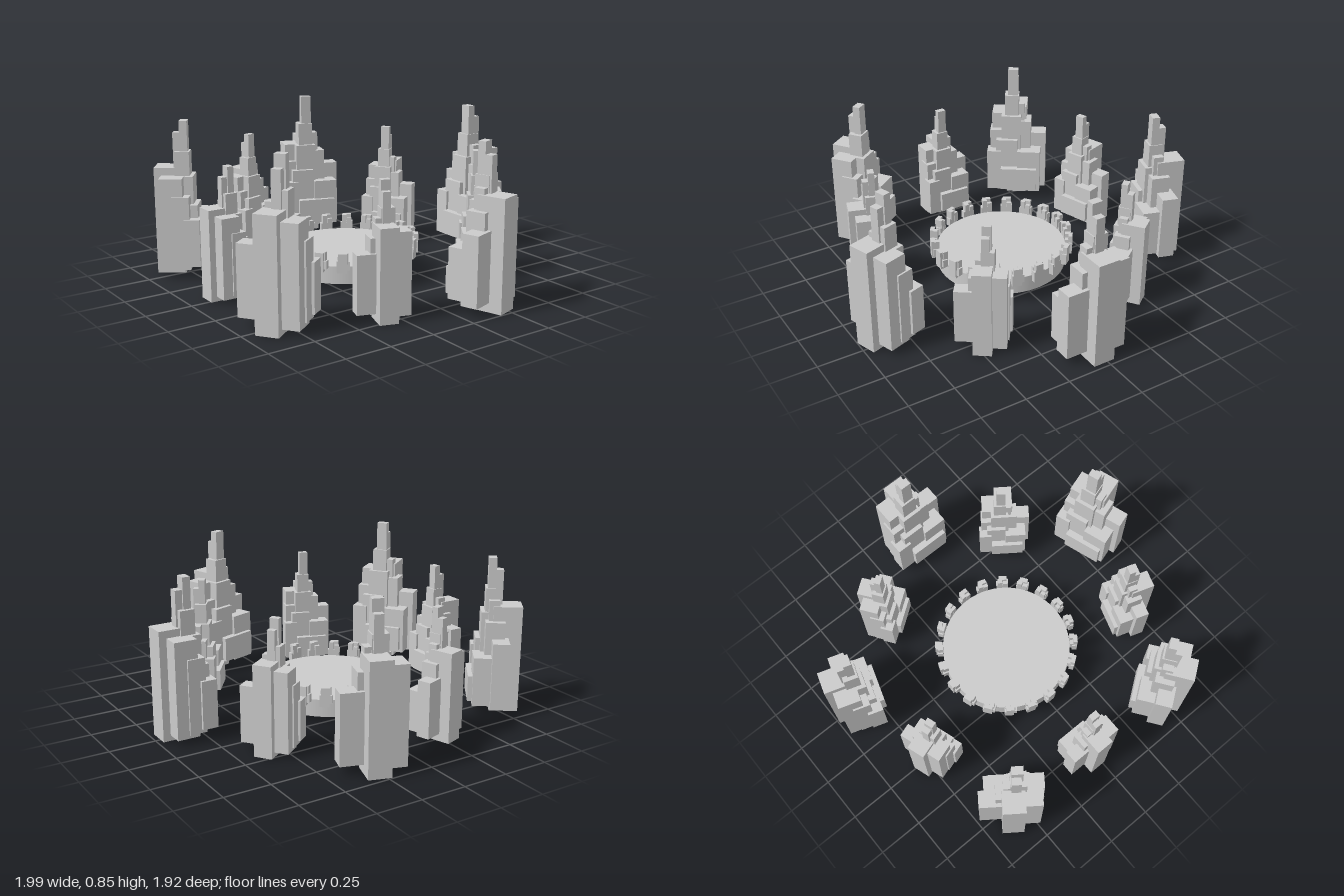
import * as THREE from 'three';

const grey = new THREE.MeshStandardMaterial({ color: 0xcccccc, flatShading: true });
const smooth = new THREE.MeshStandardMaterial({ color: 0xcccccc, side: THREE.DoubleSide });

// Blocks of one tower as [x0, x1, z0, z1, y0, y1]; the spire is at the origin, -z points outward
const TOWER = [
  [-0.03, 0.03, -0.022, 0.02, 0.3, 0.845],     // spire
  [-0.02, 0.03, -0.06, 0, 0.3, 0.78],
  [-0.05, 0.035, -0.05, 0.03, 0.1, 0.68],
  [0, 0.07, -0.045, 0.012, 0.1, 0.62],
  [-0.04, 0.08, -0.165, -0.01, 0, 0.59],       // outer slab
  [-0.13, -0.03, -0.125, 0, 0.03, 0.55],
  [-0.07, 0.05, -0.03, 0.05, 0.1, 0.55],
  [0, 0.11, -0.075, 0.03, 0.04, 0.51],
  [-0.14, -0.02, -0.06, 0.035, 0.05, 0.45],
  [0.03, 0.2, -0.095, -0.005, 0.05, 0.42],     // side wing
  [-0.1, 0.03, 0, 0.075, 0.07, 0.4],
  [0.03, 0.17, -0.005, 0.09, 0.06, 0.33],
  [-0.155, -0.07, 0.005, 0.09, 0.07, 0.33],
  [-0.07, 0.15, 0.02, 0.115, 0.08, 0.22],      // inner terrace
];

// Blocks of one rim ornament, same layout
const ORNAMENT = [
  [-0.034, 0.02, -0.012, 0.018, 0.135, 0.18],
  [-0.018, 0.034, -0.02, 0.008, 0.12, 0.185],
  [-0.02, 0.026, -0.022, 0.002, 0.17, 0.225],
  [-0.026, 0, -0.006, 0.022, 0.175, 0.225],
  [0.004, 0.03, 0, 0.02, 0.15, 0.205],
];

function cluster(name, blocks) {
  const group = new THREE.Group();
  group.name = name;
  blocks.forEach(([x0, x1, z0, z1, y0, y1]) => {
    const block = new THREE.Mesh(new THREE.BoxGeometry(x1 - x0, y1 - y0, z1 - z0), grey);
    block.position.set((x0 + x1) / 2, (y0 + y1) / 2, (z0 + z1) / 2);
    block.name = name + 'Block';
    group.add(block);
  });
  return group;
}

// Place a cluster on a ring, turned to face the middle
function onRing(parent, item, angle, radius, side = 0) {
  const pivot = new THREE.Group();
  pivot.name = item.name + 'Pivot';
  pivot.rotation.y = -angle;
  item.position.set(side, 0, -radius);
  pivot.add(item);
  parent.add(pivot);
}

export function createModel() {
  const model = new THREE.Group();
  model.name = 'towerRing';
  model.position.set(-0.007, 0, 0.056);
  const root = new THREE.Group();
  root.add(model);

  // Central platform: a flat top with an open-bottomed rim
  const wall = new THREE.Mesh(new THREE.CylinderGeometry(0.36, 0.36, 0.095, 64, 1, true), smooth);
  wall.position.y = 0.0975;
  wall.name = 'platformWall';
  const top = new THREE.Mesh(new THREE.CircleGeometry(0.36, 64), smooth);
  top.rotation.x = -Math.PI / 2;
  top.position.y = 0.145;
  top.name = 'platformTop';
  model.add(wall, top);

  // Rim ornaments
  for (let i = 0; i < 20; i++) {
    onRing(model, cluster('rimOrnament', ORNAMENT), (i * Math.PI) / 10, 0.378);
  }

  // Alternating large and small towers
  for (let i = 0; i < 10; i++) {
    const small = i % 2 === 1;
    const tower = cluster(small ? 'smallTower' : 'largeTower', TOWER);
    if (small) tower.scale.setScalar(0.815);
    onRing(model, tower, (i * Math.PI) / 5, small ? 0.703 : 0.863, small ? 0.013 : 0.007);
  }
  return root;
}
